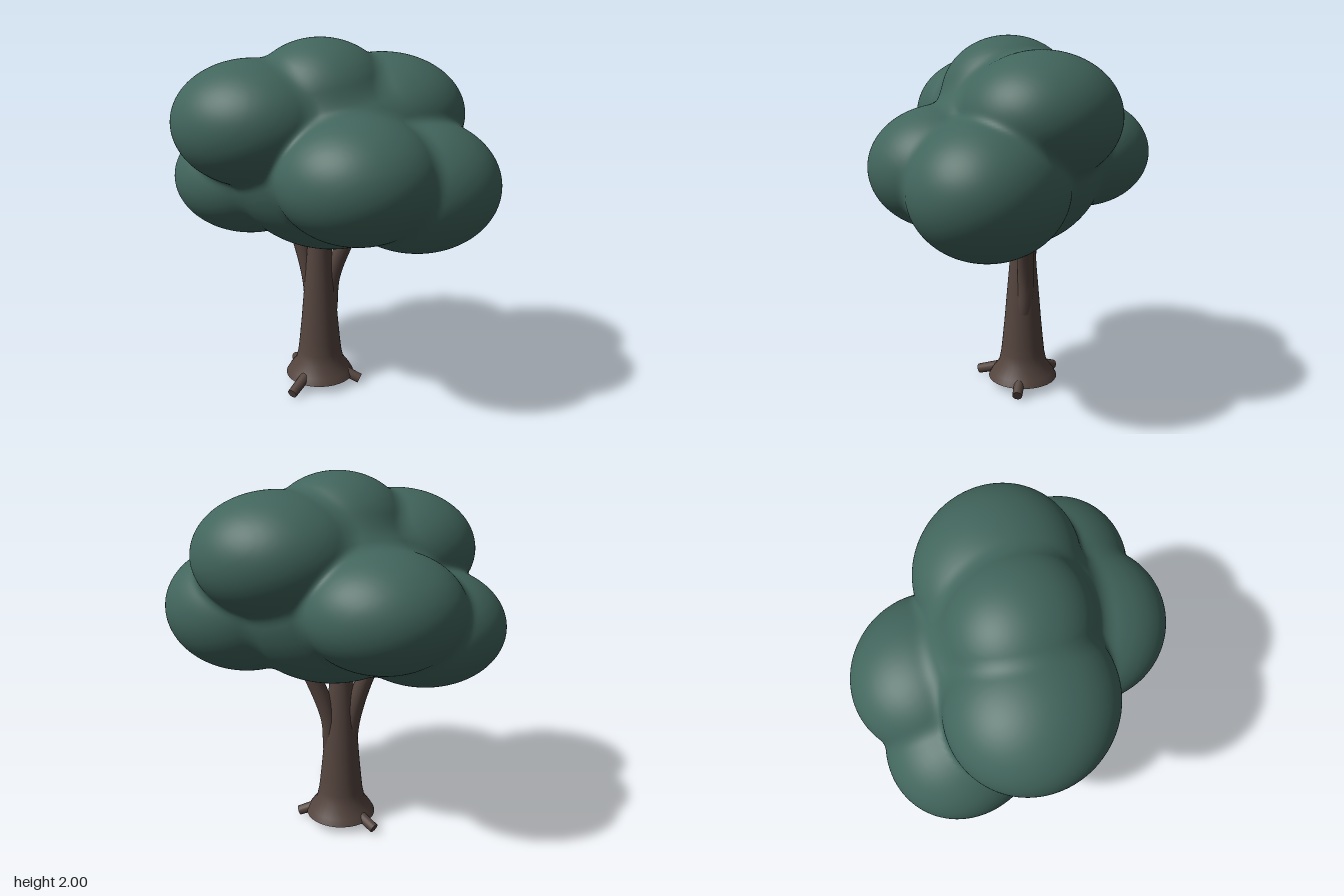
import * as THREE from 'three';
import { mergeVertices } from 'three/addons/utils/BufferGeometryUtils.js';

// Leaf clumps as ellipsoids: centre, then radii
const CLUMPS = [
  [[0, 1.37, 0], [0.58, 0.5, 0.5]],             // core
  [[-0.03, 1.68, 0.04], [0.38, 0.32, 0.36]],    // crown
  [[-0.32, 1.57, 0.23], [0.44, 0.33, 0.41]],    // upper front left
  [[0.24, 1.59, -0.19], [0.45, 0.33, 0.41]],    // upper back right
  [[0.26, 1.33, 0.3], [0.42, 0.325, 0.405]],    // lower front right
  [[0.48, 1.26, 0.02], [0.45, 0.355, 0.4]],     // lower right
  [[-0.5, 1.215, -0.05], [0.435, 0.32, 0.39]],  // lower left
  [[-0.31, 1.355, -0.32], [0.42, 0.31, 0.39]],  // lower back left
];
const BLEND = 0.04;

// Approximate signed distance to one ellipsoid
function ellipsoid(x, y, z, [c, r]) {
  const px = (x - c[0]) / r[0], py = (y - c[1]) / r[1], pz = (z - c[2]) / r[2];
  const k0 = Math.hypot(px, py, pz);
  const k1 = Math.hypot(px / r[0], py / r[1], pz / r[2]);
  return k1 < 1e-6 ? -Math.min(...r) : (k0 * (k0 - 1)) / k1;
}

// Softly merged distance to all the clumps
function foliageDistance(x, y, z) {
  let d = Infinity;
  for (const clump of CLUMPS) {
    const e = ellipsoid(x, y, z, clump);
    const h = d === Infinity ? 0 : Math.max(BLEND - Math.abs(d - e), 0) / BLEND;
    d = Math.min(d, e) - h * h * BLEND * 0.25;
  }
  return d;
}

// Shrink a fine sphere onto the merged clumps
function foliageGeometry() {
  const sphere = new THREE.IcosahedronGeometry(1, 58);
  sphere.deleteAttribute('uv');
  sphere.deleteAttribute('normal');
  const geometry = mergeVertices(sphere, 1e-5);
  const pos = geometry.attributes.position;
  const dir = new THREE.Vector3();
  for (let i = 0; i < pos.count; i++) {
    dir.fromBufferAttribute(pos, i).normalize();
    let t = 1.2;
    for (let step = 0; step < 80; step++) {
      const d = foliageDistance(dir.x * t, 1.4 + dir.y * t, dir.z * t);
      if (d < 0.0004) break;
      t -= d * 0.8;
    }
    pos.setXYZ(i, dir.x * t, 1.4 + dir.y * t, dir.z * t);
  }
  geometry.computeVertexNormals();
  return geometry;
}

export function createModel() {
  const tree = new THREE.Group();
  tree.name = 'tree';
  const leaves = new THREE.MeshStandardMaterial({ name: 'leaf green', color: 0x41655c });
  const bark = new THREE.MeshStandardMaterial({ name: 'bark brown', color: 0x54443e });

  const add = (name, geometry, material) => {
    const mesh = new THREE.Mesh(geometry, material);
    mesh.name = name;
    tree.add(mesh);
    return mesh;
  };

  add('foliage', foliageGeometry(), leaves);

  // Trunk, flared at the foot
  const profile = [[0.2, 0.05], [0.18, 0.085], [0.14, 0.14], [0.127, 0.2], [0.119, 0.27],
    [0.106, 0.4], [0.096, 0.52], [0.08, 0.7], [0.066, 0.88], [0.05, 1.15]];
  const outline = [new THREE.Vector2(0, 0.05), ...profile.map(([r, y]) => new THREE.Vector2(r, y))];
  const trunk = add('trunk', new THREE.LatheGeometry(outline.slice(1), 32), bark);
  trunk.position.set(-0.065, 0, -0.035);
  const base = add('trunkBase', new THREE.CircleGeometry(0.2, 32), bark);
  base.rotation.x = Math.PI / 2;
  base.position.set(-0.065, 0.05, -0.035);

  // Branches curving up into the leaves
  const branches = {
    leftBranch: [[-0.01, 0.46, -0.05], [0.0, 0.65, -0.065], [0.09, 0.9, -0.08], [0.2, 1.12, -0.1]],
    rightBranch: [[-0.11, 0.48, -0.04], [-0.13, 0.65, -0.045], [-0.2, 0.9, -0.05], [-0.3, 1.12, -0.05]],
  };
  for (const [name, points] of Object.entries(branches)) {
    const path = new THREE.CatmullRomCurve3(points.map((p) => new THREE.Vector3(...p)));
    add(name, new THREE.TubeGeometry(path, 24, 0.047, 16), bark);
  }

  // Short root stubs, running down and outward
  const roots = [[0.18, -0.055], [-0.13, 0.245], [-0.28, -0.18]];
  for (const [x, z] of roots) {
    const start = new THREE.Vector3(-0.065, 0.13, -0.035);
    const end = new THREE.Vector3(x, 0.03, z);
    const along = end.clone().sub(start);
    const root = add('root', new THREE.CylinderGeometry(0.028, 0.034, along.length(), 16), bark);
    root.position.copy(start).addScaledVector(along, 0.5);
    root.quaternion.setFromUnitVectors(new THREE.Vector3(0, 1, 0), along.normalize());
  }
  return tree;
}
